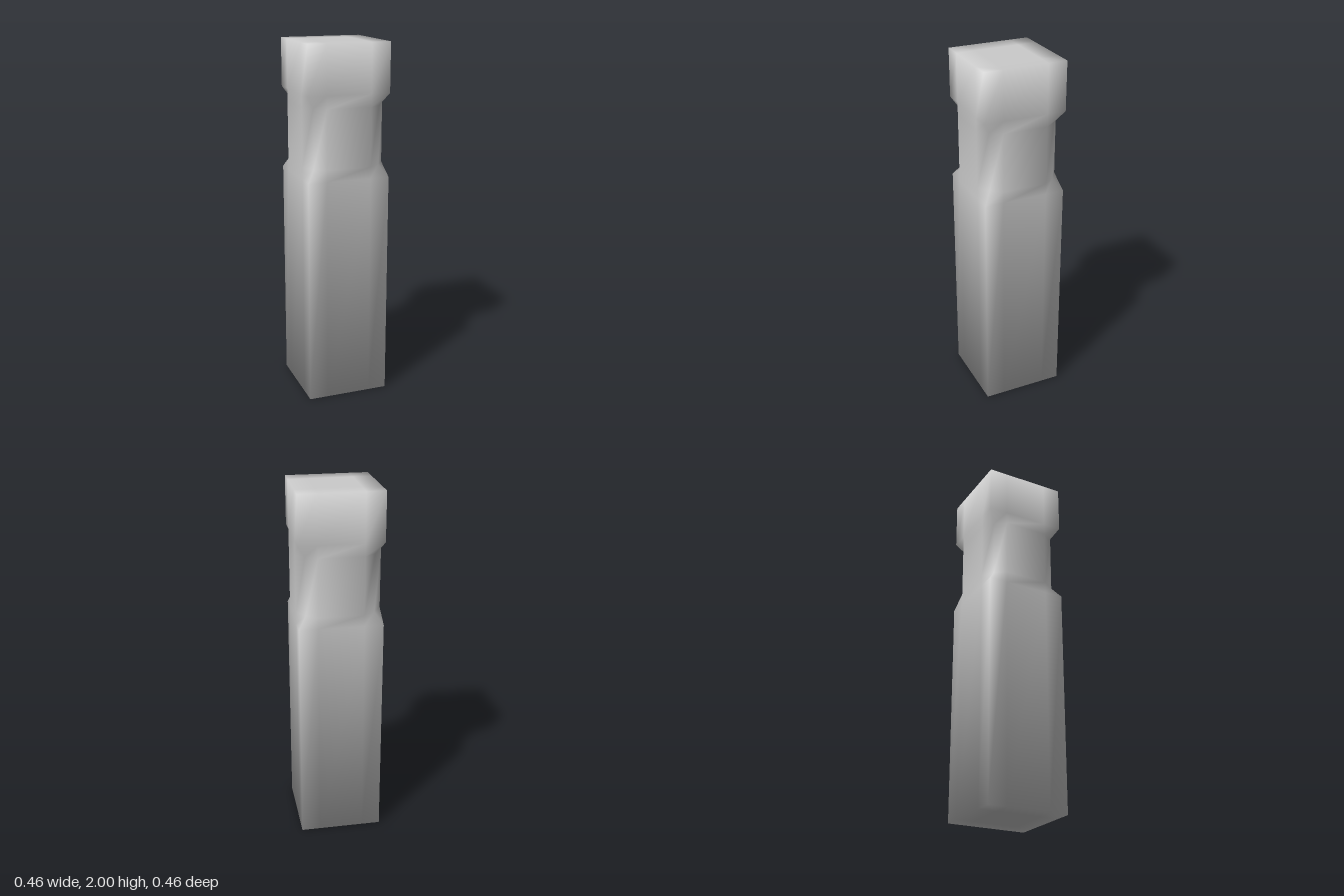
import * as THREE from 'three';
import { mergeVertices } from 'three/addons/utils/BufferGeometryUtils.js';

const HALF = 0.231;      // half width of the post
const FLAT = 0.125;      // half width of the flat between the corner notches
const NOTCH = 0.187;     // corner position inside the notch
const ACROSS = [-HALF, -FLAT, FLAT, HALF];
const ROWS = [0, 1.27, 1.335, 1.66, 1.73, 2];

// Smooth normals weighted by corner angle, so long and short faces blend evenly
function smoothNormals(geo) {
  const pos = geo.attributes.position;
  const index = geo.index.array;
  const sums = Array.from({ length: pos.count }, () => new THREE.Vector3());
  for (let i = 0; i < index.length; i += 3) {
    const ids = [index[i], index[i + 1], index[i + 2]];
    const p = ids.map((id) => new THREE.Vector3().fromBufferAttribute(pos, id));
    const normal = new THREE.Triangle(...p).getNormal(new THREE.Vector3());
    ids.forEach((id, k) => {
      const a = p[(k + 1) % 3].clone().sub(p[k]);
      const b = p[(k + 2) % 3].clone().sub(p[k]);
      sums[id].addScaledVector(normal, a.angleTo(b));
    });
  }
  const normals = sums.flatMap((n) => n.normalize().toArray());
  geo.setAttribute('normal', new THREE.Float32BufferAttribute(normals, 3));
}

// Square post whose four vertical edges are chamfered between sloping stops
function postGeometry() {
  let geo = new THREE.BoxGeometry(3, 5, 3, 3, 5, 3);
  geo.deleteAttribute('uv');
  geo.deleteAttribute('normal');
  geo = mergeVertices(geo);
  const pos = geo.attributes.position;
  for (let i = 0; i < pos.count; i++) {
    const col = Math.round(pos.getX(i) + 1.5);
    const row = Math.round(pos.getY(i) + 2.5);
    const depth = Math.round(pos.getZ(i) + 1.5);
    let x = ACROSS[col];
    let z = ACROSS[depth];
    const corner = col % 3 === 0 && depth % 3 === 0;
    if (corner && (row === 2 || row === 3)) {
      x = Math.sign(x) * NOTCH;
      z = Math.sign(z) * NOTCH;
    }
    pos.setXYZ(i, x, ROWS[row], z);
  }
  smoothNormals(geo);
  return geo;
}

export function createModel() {
  const group = new THREE.Group();
  group.name = 'notchedPost';
  const post = new THREE.Mesh(postGeometry(), new THREE.MeshStandardMaterial({ color: 0xcccccc }));
  post.name = 'post';
  group.add(post);
  return group;
}
